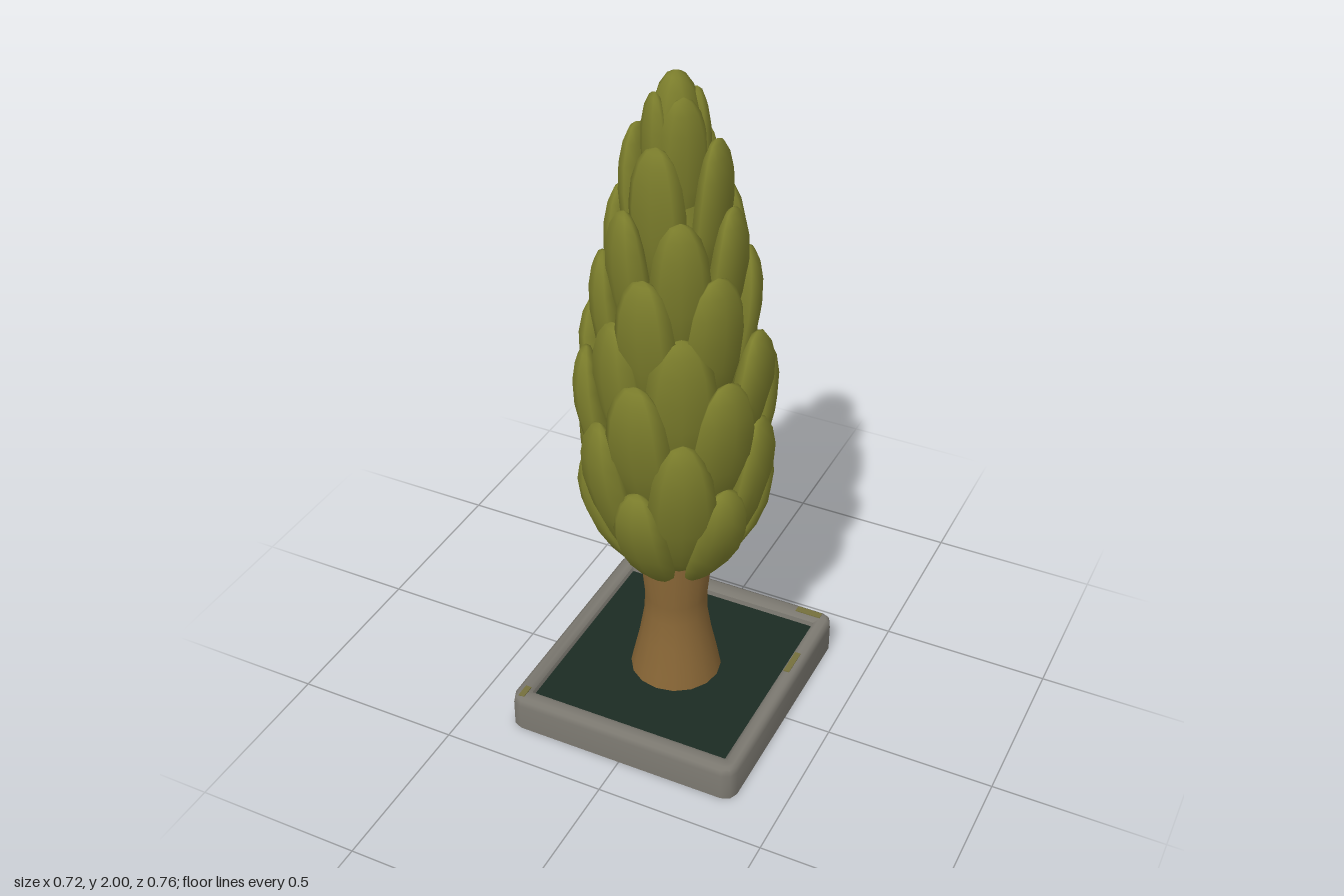
import * as THREE from 'three';
import { mergeVertices, toCreasedNormals } from 'three/addons/utils/BufferGeometryUtils.js';

const mat = (name, color) => Object.assign(new THREE.MeshStandardMaterial({ color }), { name });

// Leaf scale: a stretched ball with a blunt tip, whose spine leans outward from r0 to r1
function leafGeometry(y0, y1, r0, r1, width, depth) {
  let g = new THREE.SphereGeometry(1, 8, 9);
  g.deleteAttribute('uv');
  g.deleteAttribute('normal');
  g = mergeVertices(g);
  const p = g.attributes.position;
  for (let i = 0; i < p.count; i++) {
    const y = p.getY(i);
    const t = ((y > 0 ? y ** 0.85 : y) + 1) / 2;
    const lean = Math.sin(t * 1.75) / Math.sin(1.4);
    p.setXYZ(i, p.getX(i) * width, y0 + (y1 - y0) * t,
      p.getZ(i) * depth + r0 + (r1 - r0) * lean);
  }
  g.computeVertexNormals();
  return g;
}

// Planter: chamfered rectangular loops, each given as [inset, y]
function planterGeometry(w, d, loops) {
  const pos = [], idx = [];
  loops.forEach(([inset, y]) => {
    const x = w - inset, z = d - inset * 1.15, c = Math.max(0.036 - inset, 0.003);
    const corner = [[x, z - c], [x - c * 0.3, z - c * 0.3], [x - c, z]];
    const ring = [
      ...corner,
      ...corner.map(([a, b]) => [-a, b]).reverse(),
      ...corner.map(([a, b]) => [-a, -b]),
      ...corner.map(([a, b]) => [a, -b]).reverse(),
    ];
    ring.forEach(([a, b]) => pos.push(a, y, b));
  });
  const n = 12;
  for (let k = 0; k < loops.length - 1; k++) {
    for (let i = 0; i < n; i++) {
      const a = k * n + i, b = k * n + (i + 1) % n;
      idx.push(a, a + n, b, b, a + n, b + n);
    }
  }
  for (let i = 1; i < n - 1; i++) idx.push(0, i, i + 1); // underside
  const g = new THREE.BufferGeometry();
  g.setAttribute('position', new THREE.Float32BufferAttribute(pos, 3));
  g.setIndex(idx);
  return toCreasedNormals(g, 0.9);
}

export function createModel() {
  const model = new THREE.Group();
  model.name = 'pottedTree';
  const leafMat = mat('leafGreen', 0x7c7e2c);
  const barkMat = mat('barkBrown', 0x886636);
  const stoneMat = mat('stoneGrey', 0x7b7870);
  const soilMat = mat('darkSoil', 0x1b2b23);
  const mossMat = mat('mossStain', 0x75703c);

  const add = (parent, name, geometry, material, x = 0, y = 0, z = 0) => {
    const m = new THREE.Mesh(geometry, material);
    m.name = name;
    m.position.set(x, y, z);
    parent.add(m);
    return m;
  };

  // Planter with rounded rim, soil and moss stains
  add(model, 'planter', planterGeometry(0.36, 0.38,
    [[0, 0], [0, 0.085], [0.004, 0.103], [0.014, 0.11], [0.035, 0.108], [0.048, 0.1], [0.052, 0.07]]), stoneMat);
  const soil = add(model, 'soil', new THREE.PlaneGeometry(0.63, 0.67), soilMat, 0, 0.085, 0);
  soil.rotation.x = -Math.PI / 2;
  [[0.285, -0.354, 0.08, 0.022], [0.328, -0.12, 0.018, 0.09], [-0.328, 0.34, 0.018, 0.045]]
    .forEach(([x, z, w, d]) => add(model, 'moss', new THREE.BoxGeometry(w, 0.003, d), mossMat, x, 0.1095, z));

  // Trunk flaring at both ends
  const trunk = [[0.138, 0.07], [0.128, 0.12], [0.108, 0.21], [0.093, 0.3], [0.092, 0.36], [0.1, 0.44], [0.1, 0.6]]
    .map(([r, y]) => new THREE.Vector2(r, y));
  add(model, 'trunk', new THREE.LatheGeometry(trunk, 16), barkMat);

  // Inner core filling the gaps behind the leaves
  const core = [[0, 0.58], [0.09, 0.59], [0.13, 0.7], [0.16, 0.9], [0.155, 1.1], [0.13, 1.35], [0.09, 1.6], [0.03, 1.8], [0, 1.86]]
    .map(([r, y]) => new THREE.Vector2(r, y));
  add(model, 'foliageCore', new THREE.LatheGeometry(core, 16), leafMat);

  // Leaf rings: bottom, tip, inner radius, outer radius, half width, half depth, count, first angle
  const rings = [
    [0.47, 0.87, 0.095, 0.238, 0.084, 0.046, 6, 0],
    [0.53, 1.05, 0.12, 0.247, 0.094, 0.046, 6, 30],
    [0.74, 1.215, 0.15, 0.24, 0.098, 0.048, 6, 0],
    [0.88, 1.345, 0.14, 0.195, 0.098, 0.048, 6, 30],
    [1.05, 1.505, 0.125, 0.19, 0.09, 0.046, 6, 0],
    [1.22, 1.66, 0.105, 0.158, 0.08, 0.044, 6, 30],
    [1.4, 1.84, 0.075, 0.112, 0.082, 0.042, 4, 0],
    [1.53, 1.95, 0.025, 0.055, 0.07, 0.038, 4, 45],
  ];
  rings.forEach(([y0, y1, r0, r1, w, d, count, first], row) => {
    const ring = new THREE.Group();
    ring.name = `leafRing${row + 1}`;
    const g = leafGeometry(y0, y1, r0, r1, w, d);
    // the fourth ring reaches further out at both sides
    const wide = row === 3 ? leafGeometry(y0 - 0.02, 1.315, r0, 0.235, w, d) : g;
    for (let i = 0; i < count; i++) {
      const angle = first + i * 360 / count;
      const leaf = add(ring, 'leaf', angle % 180 === 90 ? wide : g, leafMat);
      leaf.rotation.y = THREE.MathUtils.degToRad(angle);
    }
    model.add(ring);
  });
  add(model, 'topLeaf', leafGeometry(1.58, 2.0, 0, 0, 0.072, 0.072), leafMat);
  return model;
}
